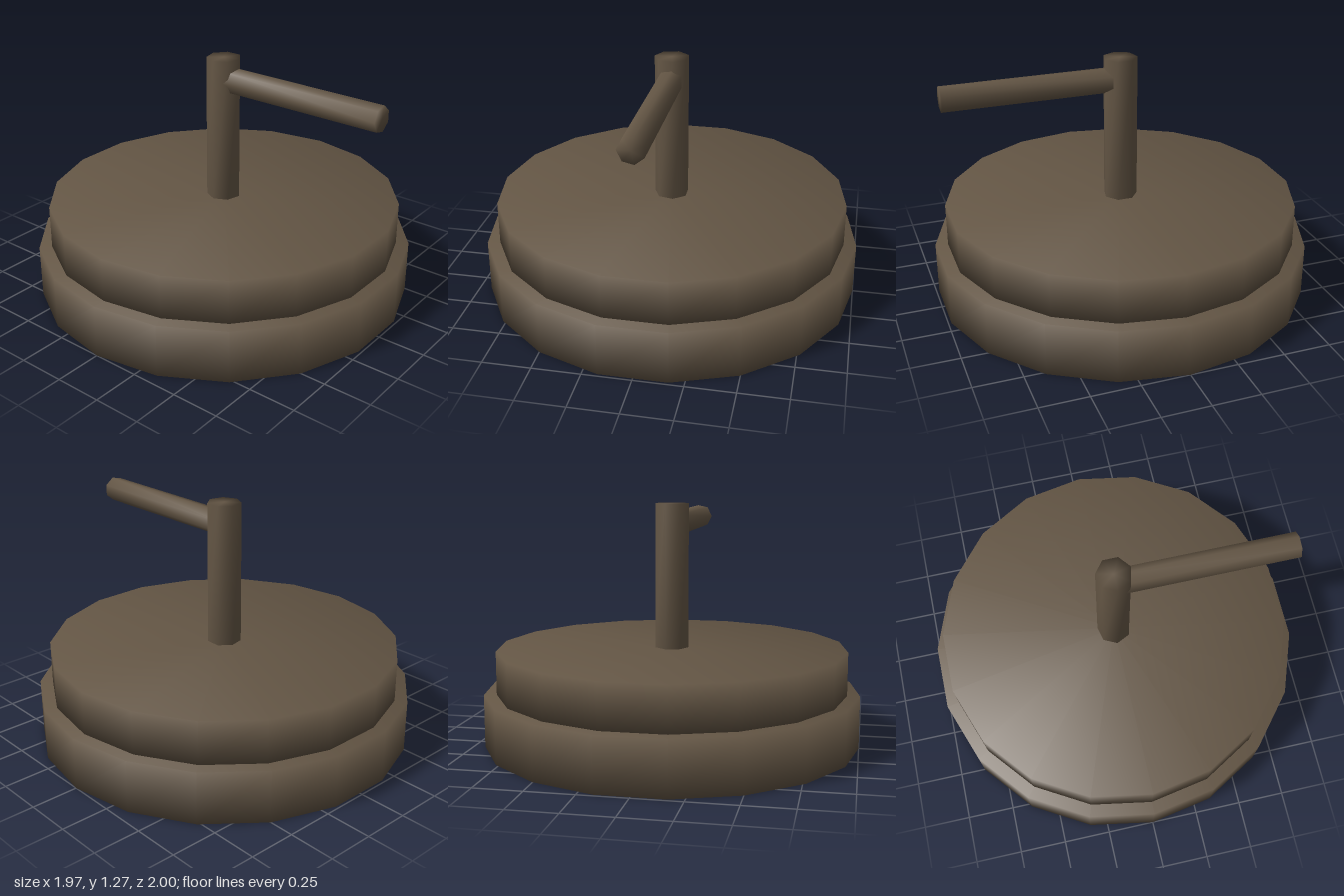
import * as THREE from 'three';
import { mergeVertices } from 'three/addons/utils/BufferGeometryUtils.js';

export function createModel() {
  const model = new THREE.Group();
  const brown = new THREE.MeshStandardMaterial({ color: 0x635544 });
  brown.name = 'dark brown';

  // Cylinder whose shading runs smoothly over the rim between side and caps
  function rod(name, radius, length, sides) {
    const geometry = new THREE.CylinderGeometry(radius, radius, length, sides);
    geometry.deleteAttribute('normal');
    geometry.deleteAttribute('uv');
    const welded = mergeVertices(geometry, 1e-4);
    welded.computeVertexNormals();
    const mesh = new THREE.Mesh(welded, brown);
    mesh.name = name;
    model.add(mesh);
    return mesh;
  }

  // Two stacked discs
  rod('lowerDisc', 1, 0.28, 18).position.y = 0.14;
  rod('upperDisc', 0.933, 0.23, 18).position.y = 0.395;

  // Upright post in the middle
  rod('post', 0.09, 0.77, 7).position.y = 0.89;

  // Handle reaching out to the model's left
  const handle = rod('handle', 0.067, 0.93, 7);
  handle.rotation.z = -Math.PI / 2;
  handle.position.set(0.465, 1.16, 0);

  return model;
}
